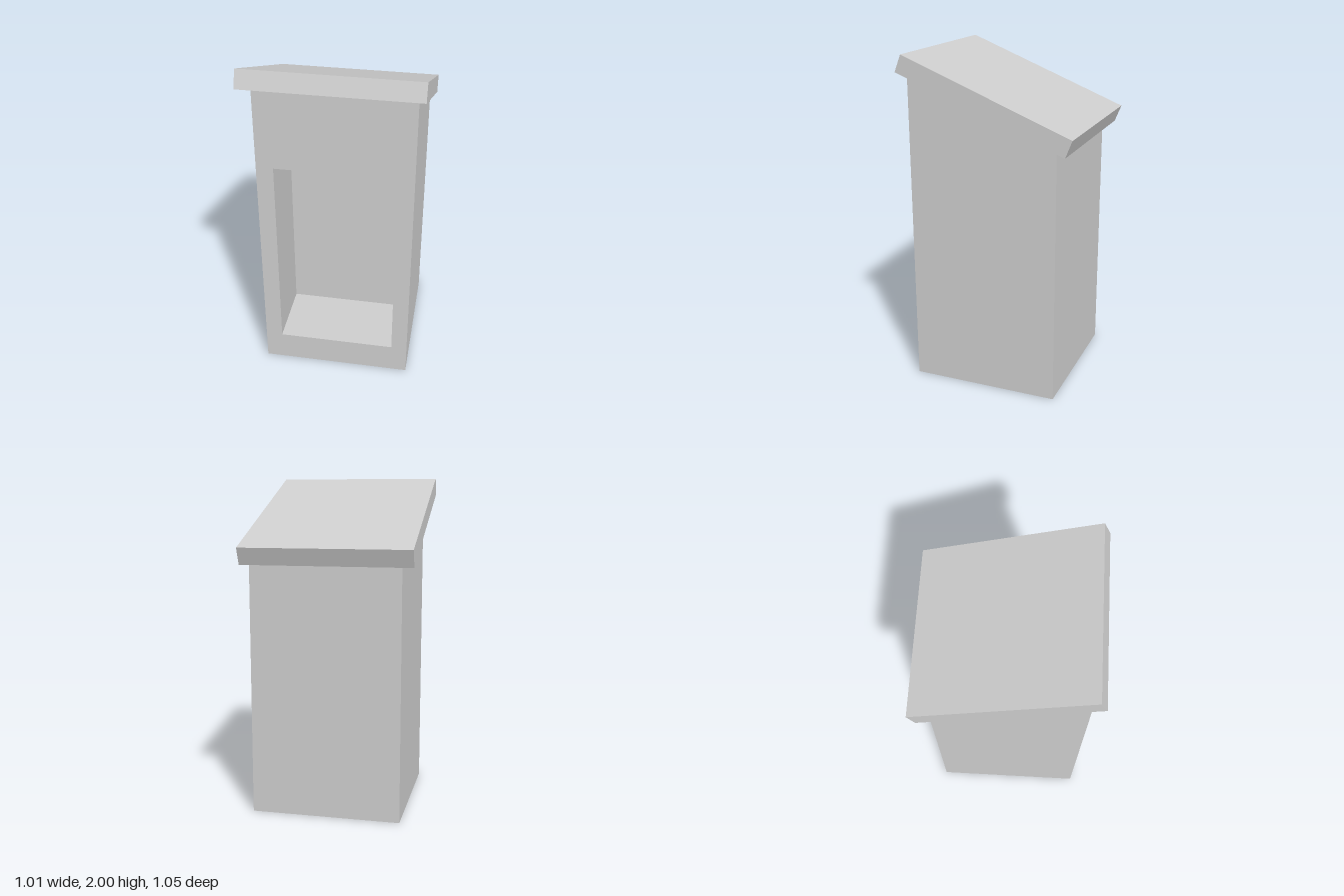
import * as THREE from 'three';

export function createModel() {
  const model = new THREE.Group();
  model.name = 'shelter';
  const grey = new THREE.MeshStandardMaterial({ color: 0xcccccc, side: THREE.DoubleSide });
  grey.name = 'lightGrey';

  const add = (name, geometry, parent = model) => {
    const mesh = new THREE.Mesh(geometry, grey);
    mesh.name = name;
    parent.add(mesh);
    return mesh;
  };

  // Flat four-cornered panel, corners anticlockwise seen from its front
  const panel = (name, corners, parent) => {
    const g = new THREE.BufferGeometry();
    g.setAttribute('position', new THREE.Float32BufferAttribute(corners.flat(), 3));
    g.setIndex([0, 1, 2, 0, 2, 3]);
    g.computeVertexNormals();
    return add(name, g, parent);
  };

  // Main dimensions
  const L = -0.43, R = 0.465, F = 0.47, B = -0.425;
  const frontTop = 1.878, backTop = 1.524;
  const hole = { l: -0.33, r: 0.37, b: 0.18, t: 1.405, z: 0.06 };

  // Front wall with the opening cut out
  const front = new THREE.Shape([
    new THREE.Vector2(L, 0), new THREE.Vector2(R, 0),
    new THREE.Vector2(R, frontTop), new THREE.Vector2(L, frontTop),
  ]);
  front.holes.push(new THREE.Path([
    new THREE.Vector2(hole.l, hole.b), new THREE.Vector2(hole.l, hole.t),
    new THREE.Vector2(hole.r, hole.t), new THREE.Vector2(hole.r, hole.b),
  ]));
  add('frontWall', new THREE.ShapeGeometry(front)).position.z = F;

  // Remaining thin walls; the body is open underneath
  panel('leftWall', [[R, 0, F], [R, 0, B], [R, backTop, B], [R, frontTop, F]]);
  panel('rightWall', [[L, 0, B], [L, 0, F], [L, frontTop, F], [L, backTop, B]]);
  panel('backWall', [[R, 0, B], [L, 0, B], [L, backTop, B], [R, backTop, B]]);

  // Recess behind the opening
  const recess = new THREE.Group();
  recess.name = 'recess';
  model.add(recess);
  const { l, r, b, t, z } = hole;
  panel('recessBack', [[l, b, z], [r, b, z], [r, t, z], [l, t, z]], recess);
  panel('recessFloor', [[l, b, F], [r, b, F], [r, b, z], [l, b, z]], recess);
  panel('recessCeiling', [[l, t, z], [r, t, z], [r, t, F], [l, t, F]], recess);
  panel('recessRightSide', [[l, b, F], [l, b, z], [l, t, z], [l, t, F]], recess);
  panel('recessLeftSide', [[r, b, z], [r, b, F], [r, t, F], [r, t, z]], recess);

  // Sloping roof slab, higher at the front
  const roof = add('roof', new THREE.BoxGeometry(1.01, 0.108, 1.086));
  roof.position.y = 1.75;
  roof.rotation.x = -Math.atan2(0.4, 1.01);

  return model;
}
